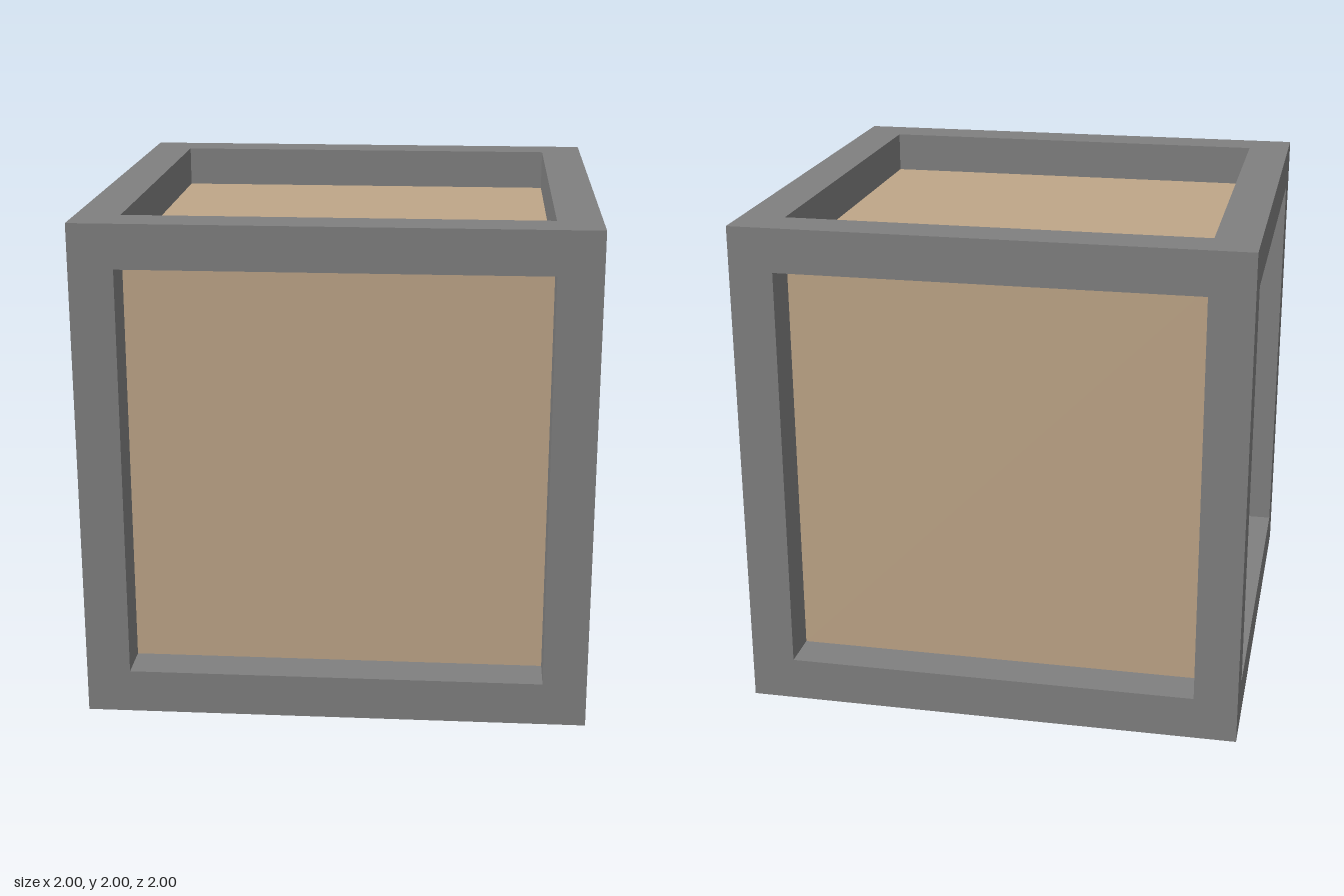
import * as THREE from 'three';

const SIZE = 2;
const BAR = 0.174; // thickness of the frame bars
const RECESS = 0.167; // depth of the panels behind the frame's outer faces

export function createModel() {
  const frameGrey = new THREE.MeshStandardMaterial({ color: 0x808080 });
  frameGrey.name = 'frameGrey';
  const panelTan = new THREE.MeshStandardMaterial({ color: 0xbfa688 });
  panelTan.name = 'panelTan';

  const crate = new THREE.Group();
  crate.name = 'crate';

  function addBox(parent, name, size, position, material) {
    const mesh = new THREE.Mesh(new THREE.BoxGeometry(...size), material);
    mesh.name = name;
    mesh.position.set(...position);
    parent.add(mesh);
  }

  // Tan body: its six sides are the recessed panels
  const body = SIZE - 2 * RECESS;
  addBox(crate, 'panels', [body, body, body], [0, SIZE / 2, 0], panelTan);

  // Frame: full-height corner posts with rails fitted between them
  const frame = new THREE.Group();
  frame.name = 'frame';
  frame.position.y = SIZE / 2;
  crate.add(frame);

  const c = (SIZE - BAR) / 2;
  const rail = SIZE - 2 * BAR;
  for (const a of [-1, 1]) {
    for (const b of [-1, 1]) {
      addBox(frame, 'cornerPost', [BAR, SIZE, BAR], [a * c, 0, b * c], frameGrey);
      addBox(frame, 'crossRail', [rail, BAR, BAR], [0, a * c, b * c], frameGrey);
      addBox(frame, 'sideRail', [BAR, BAR, rail], [a * c, b * c, 0], frameGrey);
    }
  }

  return crate;
}
